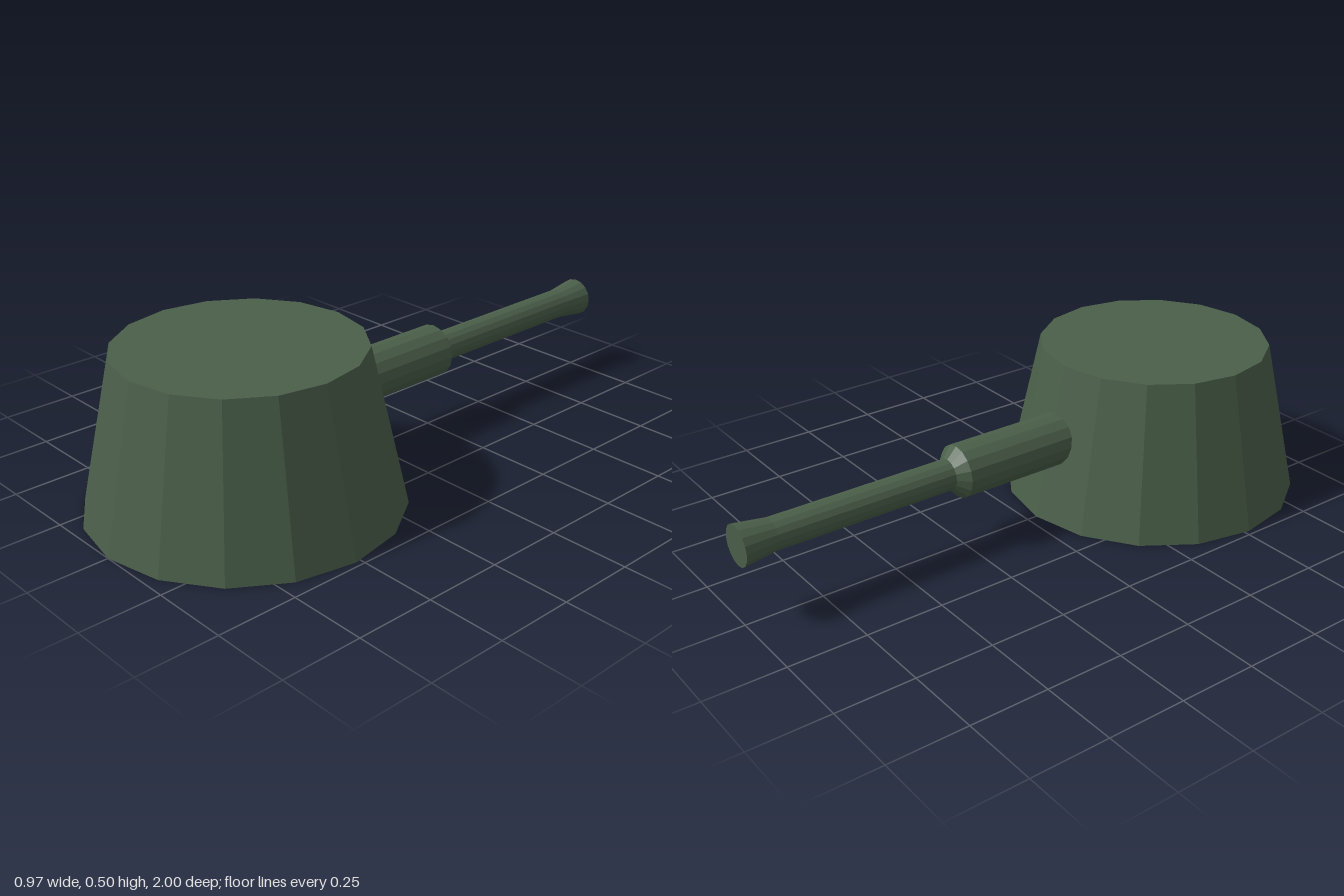
import * as THREE from 'three';

// Faceted surface with hard edges
function faceted(geometry) {
  const g = geometry.toNonIndexed();
  g.computeVertexNormals();
  return g;
}

export function createModel() {
  const group = new THREE.Group();
  const green = new THREE.MeshStandardMaterial({ color: 0x4a5f49 });
  green.name = 'olive green';

  // Tapered sixteen-sided turret
  const turret = new THREE.Mesh(faceted(new THREE.CylinderGeometry(0.373, 0.483, 0.5, 16)), green);
  turret.name = 'turret';
  turret.position.set(0, 0.25, 0.517);
  group.add(turret);

  // Gun turned around one axis: [radius, distance towards the back]
  const addTurned = (name, profile) => {
    const points = profile.map(([r, d]) => new THREE.Vector2(r, d));
    const geometry = faceted(new THREE.LatheGeometry(points, 16).rotateX(-Math.PI / 2));
    const mesh = new THREE.Mesh(geometry, green);
    mesh.name = name;
    mesh.position.y = 0.26;
    group.add(mesh);
  };

  // Thick sleeve with a chamfered end
  addTurned('barrelSleeve', [[0, -0.15], [0.085, -0.15], [0.085, 0.27], [0.05, 0.303], [0, 0.303]]);
  // Slim barrel with a flared, closed muzzle
  addTurned('barrel', [[0, 0.28], [0.05, 0.28], [0.05, 0.895], [0.064, 1], [0, 1]]);

  return group;
}
